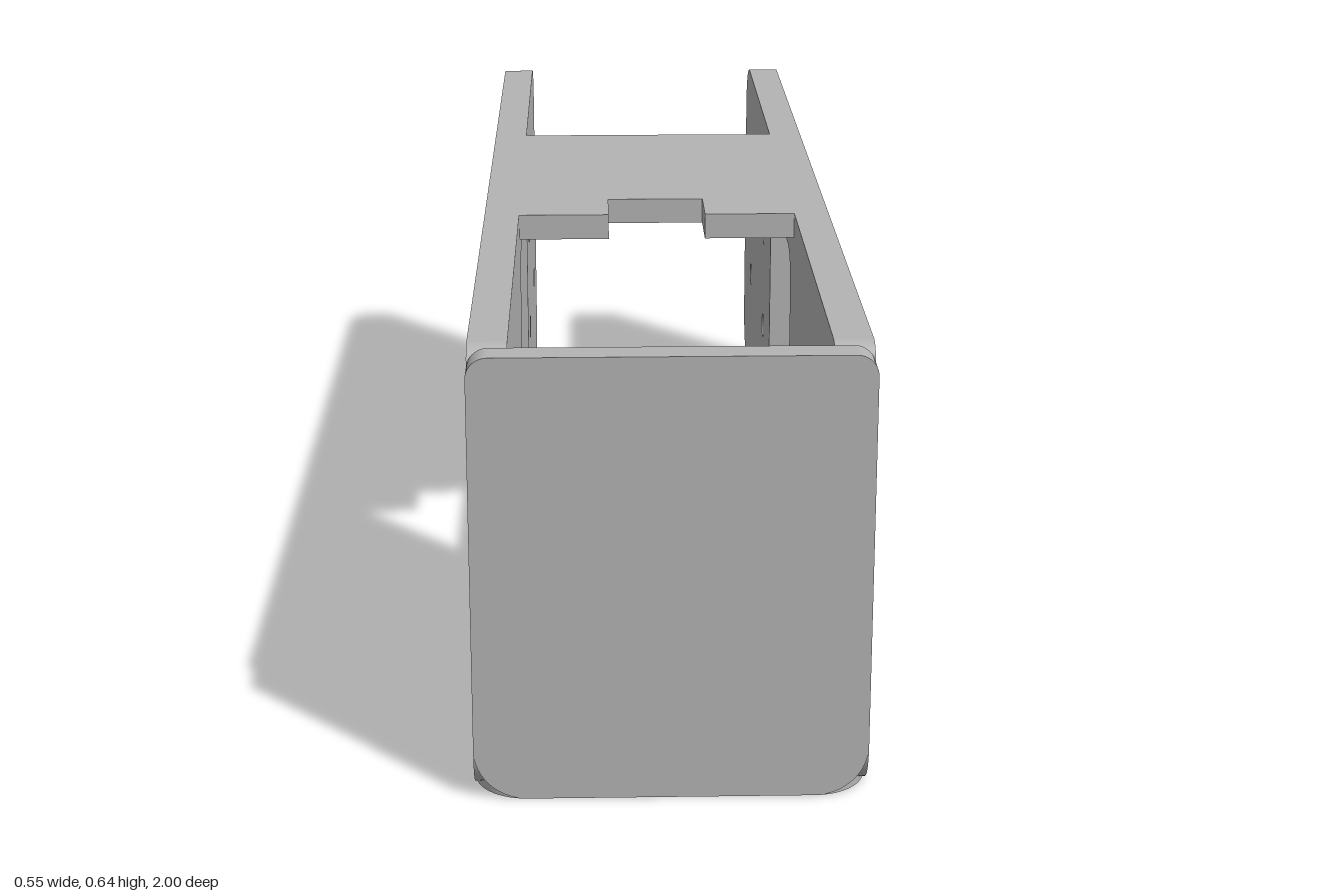
import * as THREE from 'three';

const W = 0.275, WALL = 0.055, H = 0.645, STEP = 0.035, STEP_Z = 0.13, BACK_Z = -0.325;

// Closed outline from [x, y, radius] corners, each rounded with a circular arc
function rounded(points, Type = THREE.Shape) {
  const path = new Type();
  const n = points.length;
  points.forEach(([x, y, r = 0], i) => {
    const corner = new THREE.Vector2(x, y);
    const toward = ([px, py]) => new THREE.Vector2(px, py).sub(corner).normalize().multiplyScalar(r).add(corner);
    const a = toward(points[(i + n - 1) % n]);
    const b = toward(points[(i + 1) % n]);
    if (i === 0) path.moveTo(a.x, a.y);
    else path.lineTo(a.x, a.y);
    if (r > 0) {
      // centre of the arc at a right-angled corner
      const c = a.clone().add(b).sub(corner);
      const start = Math.atan2(a.y - c.y, a.x - c.x);
      const end = Math.atan2(b.y - c.y, b.x - c.x);
      const turn = (corner.x - a.x) * (b.y - corner.y) - (corner.y - a.y) * (b.x - corner.x);
      path.absarc(c.x, c.y, r, start, end, turn < 0);
    }
  });
  path.closePath();
  return path;
}

const extrude = (shape, depth) =>
  new THREE.ExtrudeGeometry(shape, { depth, bevelEnabled: false, curveSegments: 10 });

export function createModel() {
  const model = new THREE.Group();
  model.name = 'mountingBracket';
  const grey = new THREE.MeshStandardMaterial({ color: 0xb3b3b3 });
  grey.name = 'plain grey';

  const add = (name, geometry, x, y, z) => {
    const mesh = new THREE.Mesh(geometry, grey);
    mesh.name = name;
    mesh.position.set(x, y, z);
    model.add(mesh);
  };

  // Side walls, outlined in z and y, with a window and eight screw holes
  const side = rounded([
    [-1, STEP, 0.09], [STEP_Z, STEP], [STEP_Z, 0], [1, 0, 0.075],
    [1, H - 0.03], [0.955, H - 0.03], [0.955, H, 0.03], [-1, H, 0.09],
  ].map(([z, y, r]) => [z, y, z === 0.955 && y < H ? 0 : r]));
  side.holes.push(rounded([
    [-0.26, 0.117, 0.06], [-0.26, 0.563, 0.06], [0.193, 0.563, 0.06], [0.193, 0.117, 0.06],
  ], THREE.Path));
  for (const z of [0.725, 0.37, -0.433, -0.79]) {
    for (const y of [0.25, 0.43]) {
      const hole = new THREE.Path();
      hole.absarc(z, y, 0.022, 0, Math.PI * 2, true);
      side.holes.push(hole);
    }
  }
  const wall = extrude(side, WALL).rotateY(-Math.PI / 2);
  add('leftWall', wall, W, 0, 0);
  add('rightWall', wall, -W + WALL, 0, 0);

  // Front plate with small top and large bottom corner rounding
  const front = rounded([
    [-W, 0, 0.075], [W, 0, 0.075], [W, H, 0.03], [-W, H, 0.03],
  ]);
  add('frontPlate', extrude(front, 0.045), 0, 0, 0.955);

  // Front floor, one step lower, rounded at its front corners
  const floor = rounded([
    [-W, STEP_Z], [W, STEP_Z], [W, 1, 0.075], [-W, 1, 0.075],
  ]);
  add('frontFloor', extrude(floor, 0.04).rotateX(Math.PI / 2), 0, 0.04, 0);

  // Raised rear floor between the walls
  const inner = W - WALL;
  const rearFloor = new THREE.BoxGeometry(inner * 2, 0.04, STEP_Z - BACK_Z);
  add('rearFloor', rearFloor, 0, STEP + 0.02, (STEP_Z + BACK_Z) / 2);

  // Top bridge with a notch in its front edge
  const bridge = rounded([
    [-inner, BACK_Z], [inner, BACK_Z], [inner, 0.25], [0.077, 0.25],
    [0.077, 0.15], [-0.077, 0.15], [-0.077, 0.25], [-inner, 0.25],
  ]);
  add('topBridge', extrude(bridge, 0.04).rotateX(Math.PI / 2), 0, H, 0);

  return model;
}
